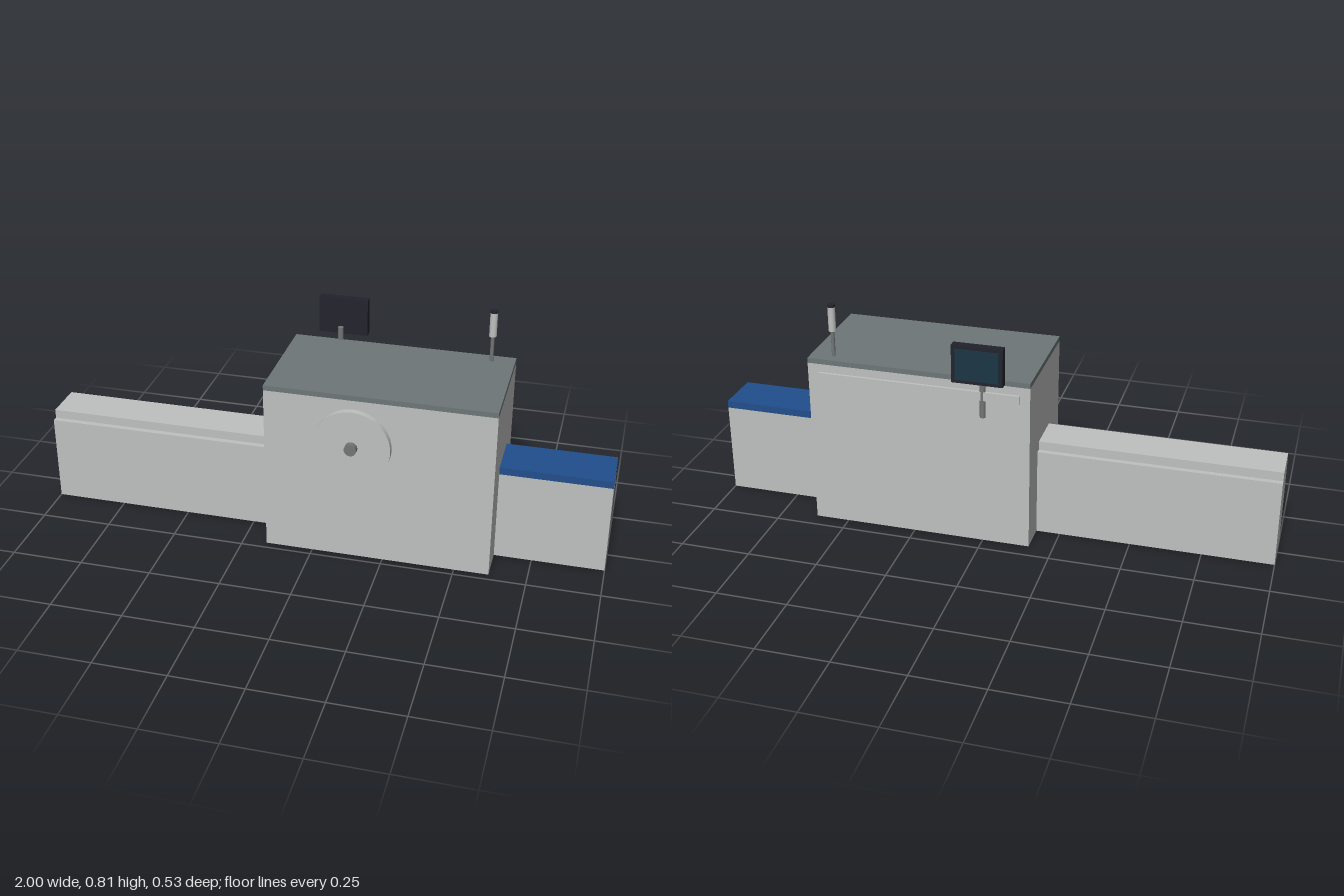
import * as THREE from 'three';

const mat = (name, color) => {
  const m = new THREE.MeshStandardMaterial({ color });
  m.name = name;
  return m;
};

export function createModel() {
  const model = new THREE.Group();
  model.name = 'machine';

  const panel = mat('light grey', 0xbfc1c0);
  const cover = mat('slate grey', 0x6e7678);
  const steel = mat('steel grey', 0x727677);
  const blue = mat('blue', 0x214e8c);
  const dark = mat('near black', 0x22222c);
  const glass = mat('screen teal', 0x1b3544);

  // Box given by its lower and upper limits on each axis
  function box(name, material, [x0, x1], [y0, y1], [z0, z1]) {
    const mesh = new THREE.Mesh(new THREE.BoxGeometry(x1 - x0, y1 - y0, z1 - z0), material);
    mesh.position.set((x0 + x1) / 2, (y0 + y1) / 2, (z0 + z1) / 2);
    mesh.name = name;
    model.add(mesh);
  }

  // Upright cylinder between two heights
  function post(name, material, r, x, z, y0, y1) {
    const mesh = new THREE.Mesh(new THREE.CylinderGeometry(r, r, y1 - y0, 24), material);
    mesh.position.set(x, (y0 + y1) / 2, z);
    mesh.name = name;
    model.add(mesh);
  }

  // Cylinder pointing forward between two depths
  function disc(name, material, r, x, y, z0, z1) {
    const geometry = new THREE.CylinderGeometry(r, r, z1 - z0, 64).rotateX(Math.PI / 2);
    const mesh = new THREE.Mesh(geometry, material);
    mesh.position.set(x, y, (z0 + z1) / 2);
    mesh.name = name;
    model.add(mesh);
  }

  // Main cabinet
  box('cabinet', panel, [-0.166, 0.62], [0, 0.604], [-0.193, 0.222]);
  box('cabinetLid', cover, [-0.166, 0.62], [0.604, 0.622], [-0.193, 0.222]);

  // Long infeed bed with a narrower raised top
  box('infeedBed', panel, [-1, -0.166], [0, 0.314], [-0.083, 0.1]);
  box('infeedTop', panel, [-1, -0.166], [0.314, 0.346], [-0.064, 0.08]);

  // Short outfeed base with a blue table
  box('outfeedBase', panel, [0.62, 1], [0, 0.326], [-0.07, 0.099]);
  box('outfeedTable', blue, [0.62, 1], [0.326, 0.352], [-0.07, 0.099]);

  // Front wheel and hub
  disc('frontWheel', panel, 0.132, 0.142, 0.44, 0.222, 0.244);
  disc('wheelHub', steel, 0.021, 0.142, 0.44, 0.244, 0.264);

  // Rear rail carrying the monitor arm
  box('rearRail', panel, [-0.13, 0.58], [0.544, 0.575], [-0.203, -0.193]);
  post('monitorArm', steel, 0.01, -0.003, -0.194, 0.48, 0.668);

  // Monitor with its screen on the back side
  box('monitorCase', dark, [-0.09, 0.085], [0.627, 0.76], [-0.259, -0.23]);
  box('monitorScreen', glass, [-0.077, 0.072], [0.639, 0.748], [-0.262, -0.259]);

  // Signal lamp
  post('lampPole', steel, 0.0065, 0.539, -0.152, 0.622, 0.715);
  post('lampBody', panel, 0.013, 0.539, -0.152, 0.715, 0.802);
  post('lampCap', dark, 0.013, 0.539, -0.152, 0.802, 0.81);

  return model;
}
